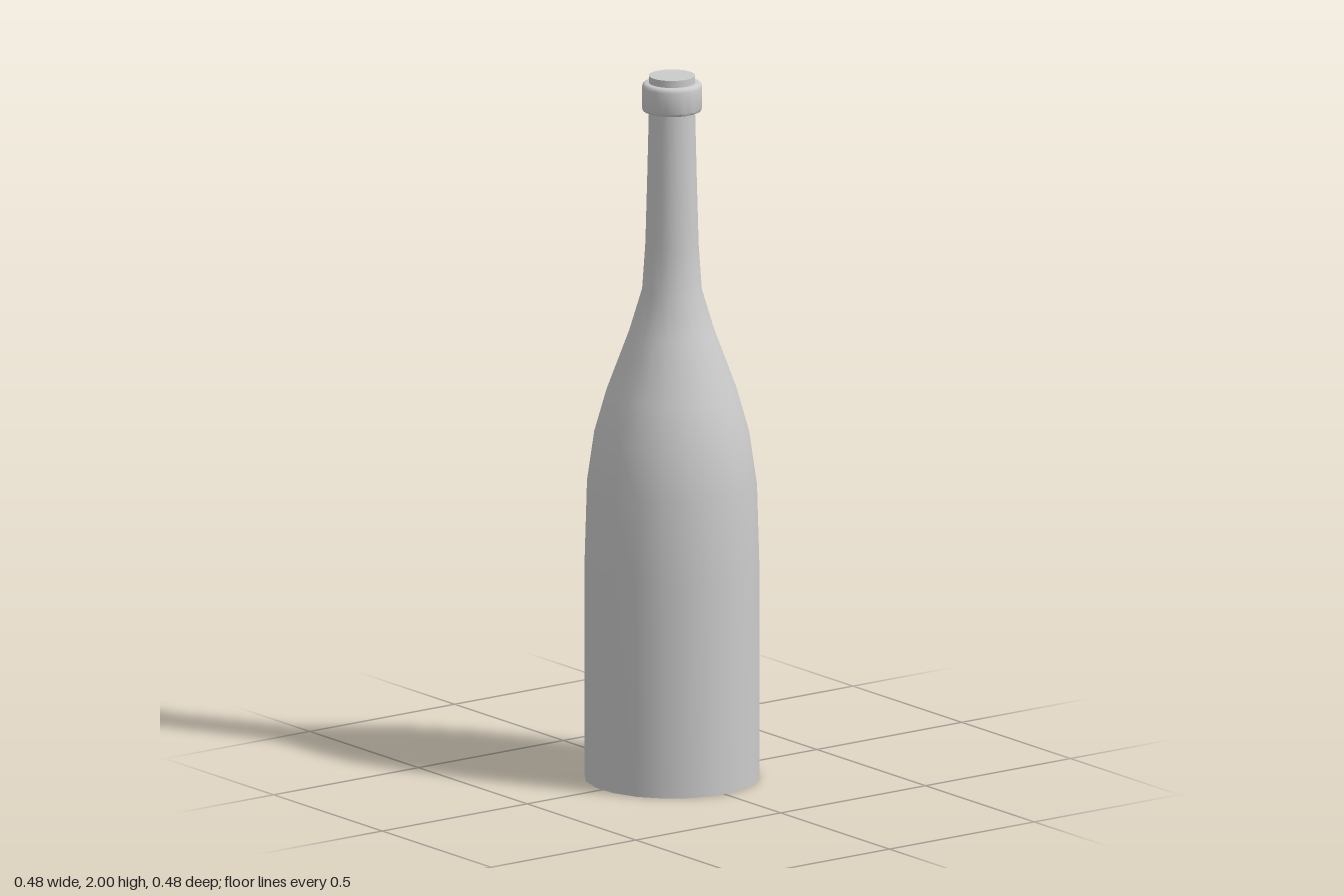
import * as THREE from 'three';
import { toCreasedNormals } from 'three/addons/utils/BufferGeometryUtils.js';

const START = THREE.MathUtils.degToRad(11); // turn of the 20-sided body about y

// Revolve a [radius, height] profile, listed from the bottom up.
function lathe(profile, sides) {
  const points = profile.map(([r, y]) => new THREE.Vector2(r, y));
  return new THREE.LatheGeometry(points, sides, START, Math.PI * 2);
}

export function createModel() {
  const group = new THREE.Group();
  group.name = 'bottle';
  const material = new THREE.MeshStandardMaterial({ color: 0xcccccc });
  const add = (name, geometry) => {
    const mesh = new THREE.Mesh(geometry, material);
    mesh.name = name;
    group.add(mesh);
    return mesh;
  };

  // Body, sloping shoulder and tapered neck
  add('body', lathe([
    [0.243, 0], [0.243, 0.6], [0.236, 0.84], [0.216, 0.98], [0.182, 1.1],
    [0.119, 1.27], [0.083, 1.39], [0.074, 1.52], [0.069, 1.7], [0.064, 1.91],
  ], 20));

  // Flat underside
  add('base', lathe([[0, 0], [0.243, 0]], 20));

  // Collar with softened edges around the mouth
  add('lip', toCreasedNormals(lathe([
    [0.06, 1.9], [0.076, 1.9], [0.081, 1.902], [0.083, 1.908],
    [0.083, 1.968], [0.081, 1.976], [0.075, 1.98], [0.06, 1.98],
  ], 32), 0.9));

  // Stopper standing just proud of the lip
  add('stopper', new THREE.CylinderGeometry(0.064, 0.064, 0.1, 32)).position.y = 1.95;

  return group;
}
